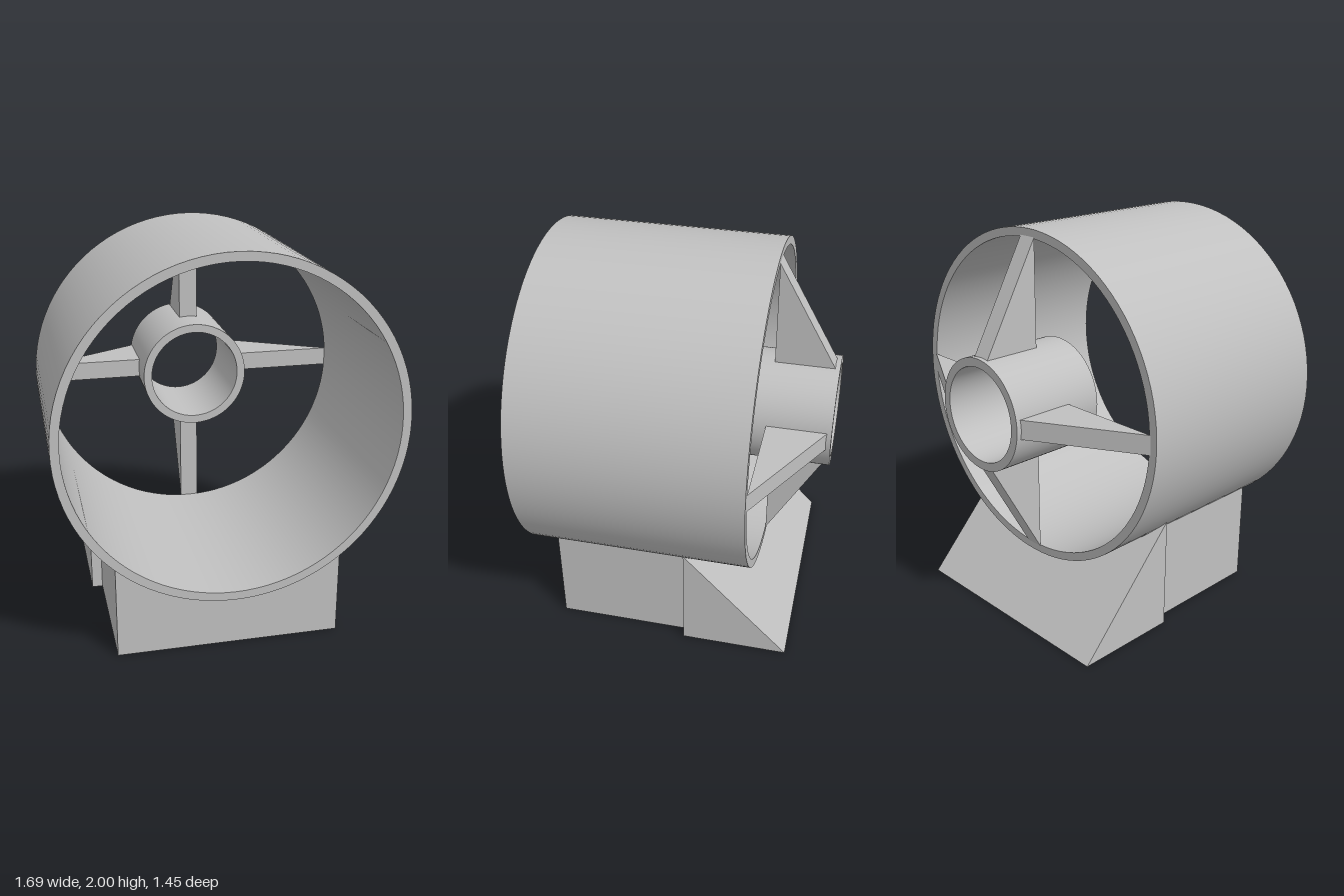
import * as THREE from 'three';
import { toCreasedNormals } from 'three/addons/utils/BufferGeometryUtils.js';

const AXIS_Y = 1.155;   // height of the ring axis
const RING_R = 0.845;
const RING_BACK = -0.405;

// Hollow cylinder along z
function tube(outer, inner, back, front) {
  const profile = [[outer, back], [outer, front], [inner, front], [inner, back], [outer, back]]
    .map(([r, z]) => new THREE.Vector2(r, z));
  const lathe = new THREE.LatheGeometry(profile, 96);
  lathe.rotateX(Math.PI / 2);
  return toCreasedNormals(lathe, 0.6);
}

// Block with a concave top that cradles the ring, extruded from back to front
function saddle(halfWidth, back, front) {
  const r = RING_R - 0.003;
  const a = Math.asin(halfWidth / r);
  const shape = new THREE.Shape();
  shape.moveTo(-halfWidth, 0);
  shape.lineTo(halfWidth, 0);
  shape.absarc(0, AXIS_Y, r, -Math.PI / 2 + a, -Math.PI / 2 - a, true);
  shape.closePath();
  const geo = new THREE.ExtrudeGeometry(shape, { depth: front - back, bevelEnabled: false, curveSegments: 32 });
  return geo.translate(0, 0, back);
}

export function createModel() {
  const model = new THREE.Group();
  model.name = 'ringOnStand';
  const grey = new THREE.MeshStandardMaterial({ color: 0xc0c0c0 });
  grey.name = 'grey';

  const add = (name, geometry, parent = model) => {
    const mesh = new THREE.Mesh(geometry, grey);
    mesh.name = name;
    parent.add(mesh);
    return mesh;
  };

  // Housing ring, hub and spokes share one axis
  const housing = new THREE.Group();
  housing.name = 'housing';
  housing.position.y = AXIS_Y;
  model.add(housing);
  add('outerRing', tube(RING_R, 0.802, RING_BACK, 0.725), housing);
  add('hub', tube(0.28, 0.237, -0.725, -0.22), housing);

  // Triangular spokes from the ring's back rim to the hub
  const web = new THREE.Shape([[0.808, RING_BACK], [0.26, RING_BACK], [0.26, -0.711]]
    .map(([r, z]) => new THREE.Vector2(r, z)));
  const spoke = new THREE.ExtrudeGeometry(web, { depth: 0.096, bevelEnabled: false });
  spoke.translate(0, 0, -0.048);
  spoke.rotateX(Math.PI / 2);
  for (let i = 0; i < 4; i++) {
    add('spoke' + (i + 1), spoke, housing).rotation.z = i * Math.PI / 2;
  }

  // Front base block
  add('baseBlock', saddle(0.565, -0.07, 0.615));

  // Wider rear wedge: its back face leans forward from the ground to the top corners
  const back = -0.61, front = -0.065;
  const wedge = saddle(0.62, back, front);
  const p = wedge.attributes.position;
  const top = AXIS_Y - Math.sqrt((RING_R - 0.003) ** 2 - 0.62 ** 2);
  for (let i = 0; i < p.count; i++) {
    if (p.getZ(i) < back + 0.01) p.setZ(i, back + (front - back) * p.getY(i) / top);
  }
  wedge.computeVertexNormals();
  add('baseWedge', wedge);

  return model;
}
